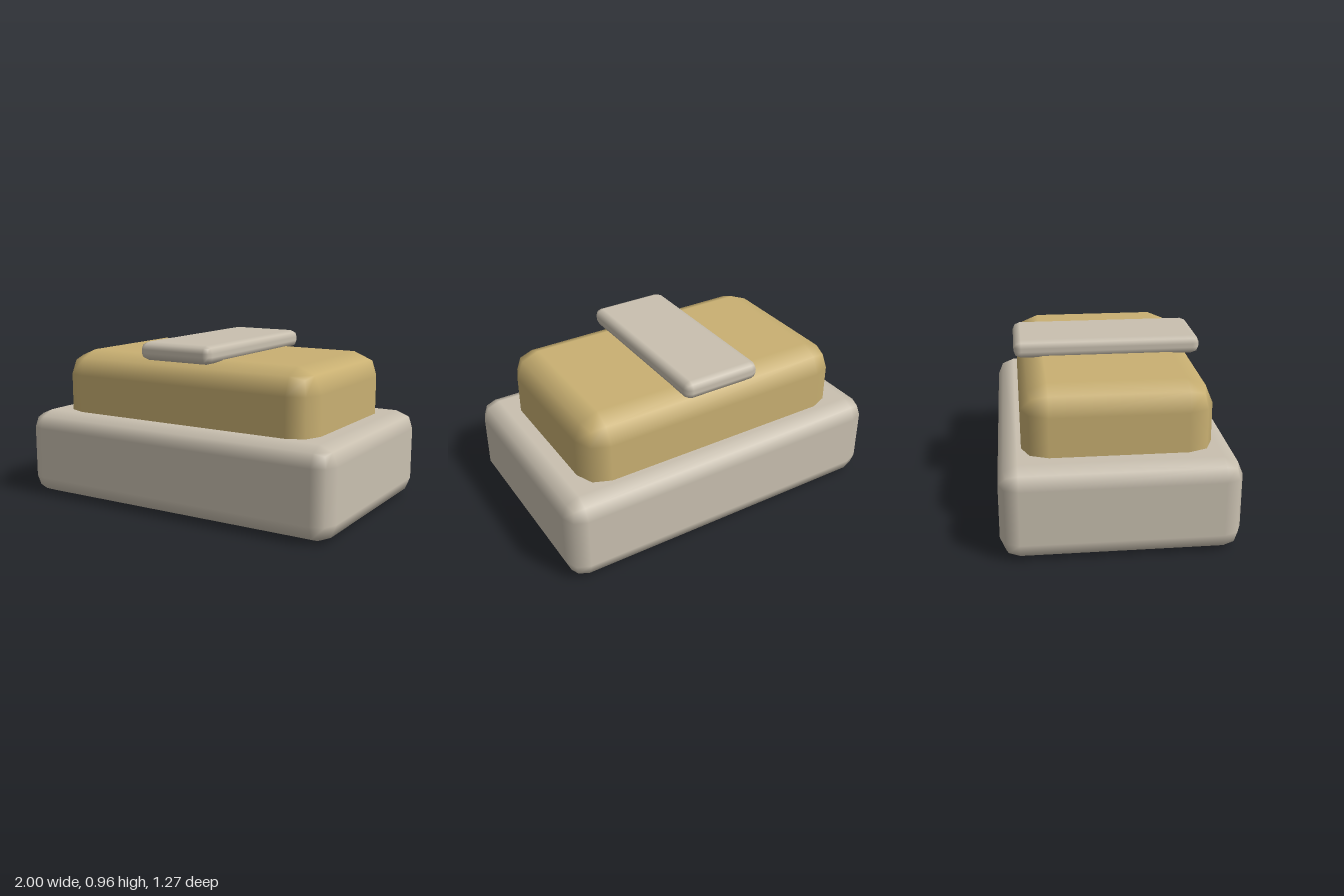
import * as THREE from 'three';
import { RoundedBoxGeometry } from 'three/addons/geometries/RoundedBoxGeometry.js';

export function createModel() {
  const group = new THREE.Group();
  const stone = new THREE.MeshStandardMaterial({ color: 0xc9c0b0 });
  stone.name = 'warm grey';
  const gold = new THREE.MeshStandardMaterial({ color: 0xc9b072 });
  gold.name = 'muted gold';

  // softly bevelled block resting with its underside at y = bottom
  function addBlock(name, material, width, depth, bottom, top, radius) {
    const height = top - bottom;
    const mesh = new THREE.Mesh(new RoundedBoxGeometry(width, height, depth, 1, radius), material);
    mesh.name = name;
    mesh.position.y = bottom + height / 2;
    group.add(mesh);
  }

  // wide base
  addBlock('base', stone, 2, 1.274, 0, 0.51, 0.104);
  // body, sunk into the base
  addBlock('body', gold, 1.652, 1.02, 0.37, 0.873, 0.143);
  // strap running front to back across the top
  addBlock('topStrap', stone, 0.466, 1.062, 0.857, 0.961, 0.042);

  return group;
}
